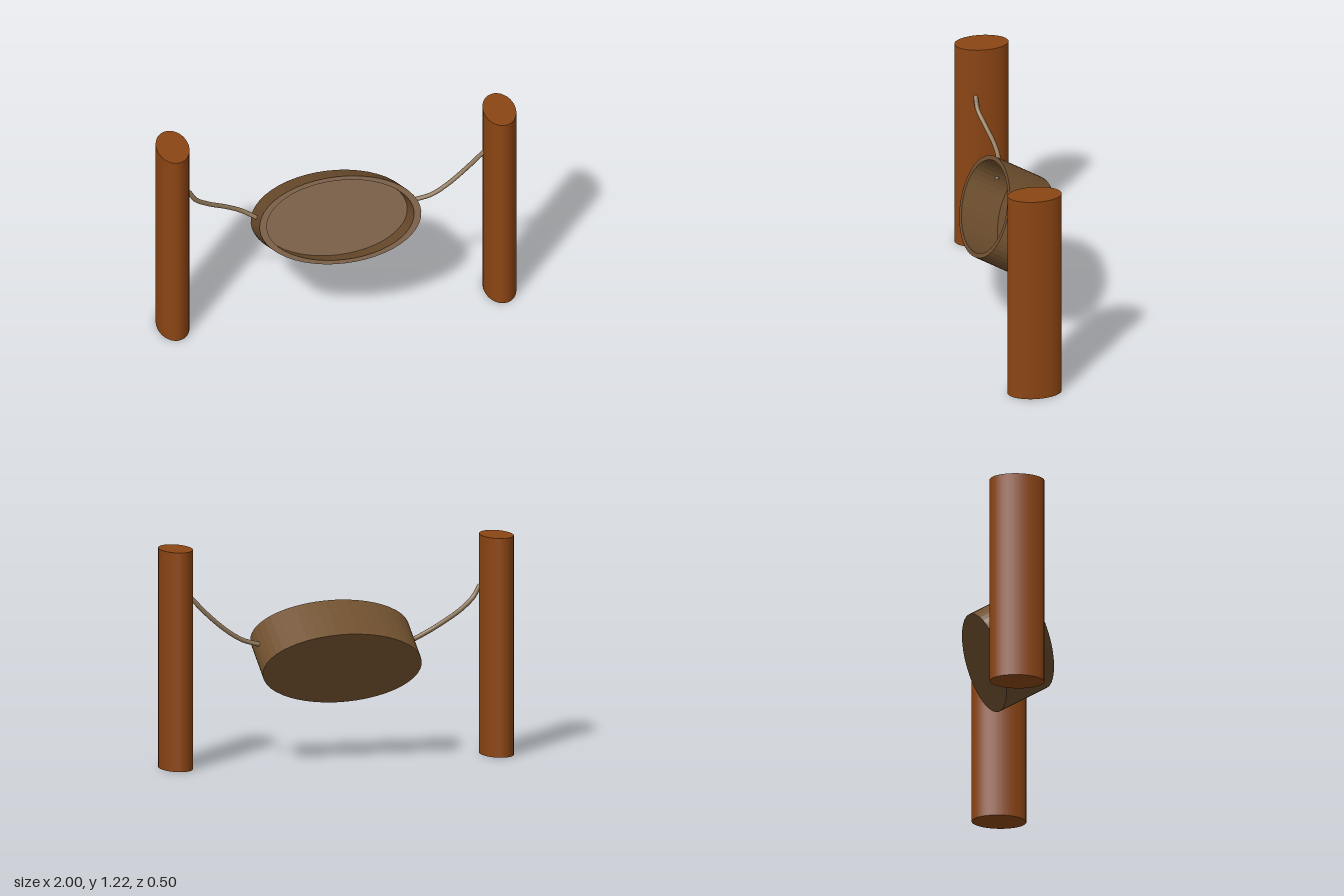
import * as THREE from 'three';

const material = (color, extra = {}) => {
  const m = new THREE.MeshStandardMaterial({ color, ...extra });
  return m;
};

function part(name, geometry, mat) {
  const mesh = new THREE.Mesh(geometry, mat);
  mesh.name = name;
  return mesh;
}

export function createModel() {
  const model = new THREE.Group();
  model.name = 'hangingBasin';
  const wood = material(0x8b4513);
  const basinWood = material(0x70502f, { flatShading: true });
  const cord = material(0x8b7355);

  // Two upright posts with an oval section
  const height = 1.215;
  for (const [name, side] of [['rightPost', -1], ['leftPost', 1]]) {
    const post = part(name, new THREE.CylinderGeometry(0.15, 0.15, height, 32), wood);
    post.scale.x = 0.6;
    post.position.set(side * 0.91, height / 2, 0);
    model.add(post);
  }

  // Oval basin: outer wall, rim, inner wall and floor, tipped to the front
  const profile = [[0, -0.15], [0.45, -0.15], [0.45, 0.15], [0.41, 0.15], [0.41, -0.08], [0, -0.08]]
    .map(([r, y]) => new THREE.Vector2(r, y));
  const basin = part('basin', new THREE.LatheGeometry(profile, 48), basinWood);
  basin.scale.z = 0.24 / 0.45;
  basin.rotation.x = Math.PI / 3;
  basin.position.y = 0.6075;
  model.add(basin);

  // Ropes from the posts to the ends of the basin
  const ropes = {
    rightRope: [[-0.825, 0.925, 0.045], [-0.79, 0.868, 0.04], [-0.71, 0.805, 0.01],
      [-0.6, 0.745, -0.022], [-0.52, 0.702, -0.03], [-0.41, 0.64, -0.005]],
    leftRope: [[0.83, 0.945, 0], [0.72, 0.832, -0.002], [0.62, 0.748, 0.004],
      [0.53, 0.692, 0.006], [0.43, 0.662, -0.003]],
  };
  for (const [name, points] of Object.entries(ropes)) {
    const curve = new THREE.CatmullRomCurve3(points.map((p) => new THREE.Vector3(...p)));
    const rope = new THREE.Group();
    rope.name = name;
    rope.add(part('strand', new THREE.TubeGeometry(curve, 40, 0.013, 10), cord));
    // Rounded ends
    for (const t of [0, 1]) {
      const end = part('ropeEnd', new THREE.SphereGeometry(0.013, 10, 8), cord);
      end.position.copy(curve.getPoint(t));
      rope.add(end);
    }
    model.add(rope);
  }
  return model;
}
